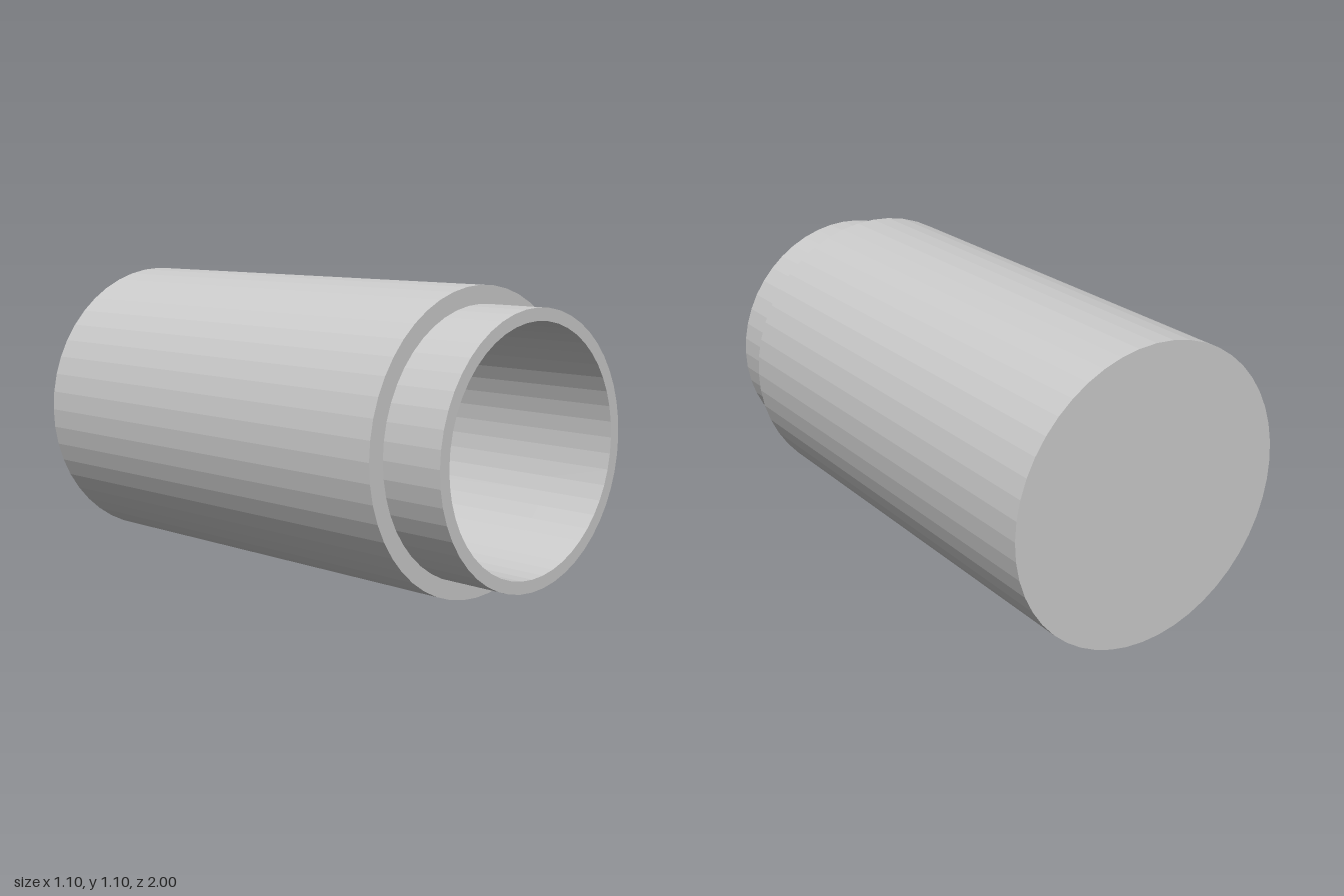
import * as THREE from 'three';

const SEGMENTS = 48;
const BODY_R = 0.55, NECK_R = 0.485, BORE_R = 0.44;
const BACK = -1, SHOULDER = 0.755, FRONT = 1, FLOOR = -0.95;

export function createModel() {
  const group = new THREE.Group();
  const material = new THREE.MeshStandardMaterial({ color: 0xcccccc, flatShading: true });

  // Turns a [radius, z] profile around the long axis of the container
  const turned = (name, profile) => {
    const points = profile.map(([r, z]) => new THREE.Vector2(r, z));
    const geometry = new THREE.LatheGeometry(points, SEGMENTS);
    geometry.rotateX(Math.PI / 2);
    geometry.translate(0, BODY_R, 0);
    const mesh = new THREE.Mesh(geometry, material);
    mesh.name = name;
    group.add(mesh);
  };

  // Closed back, wide wall and flat shoulder
  turned('body', [[0, BACK], [BODY_R, BACK], [BODY_R, SHOULDER], [NECK_R, SHOULDER]]);

  // Narrower collar with its rim and inner wall
  turned('neck', [[NECK_R, SHOULDER], [NECK_R, FRONT], [BORE_R, FRONT], [BORE_R, SHOULDER]]);

  // Hollow inside running down to the floor
  turned('cavity', [[BORE_R, SHOULDER], [BORE_R, FLOOR], [0, FLOOR]]);

  return group;
}
